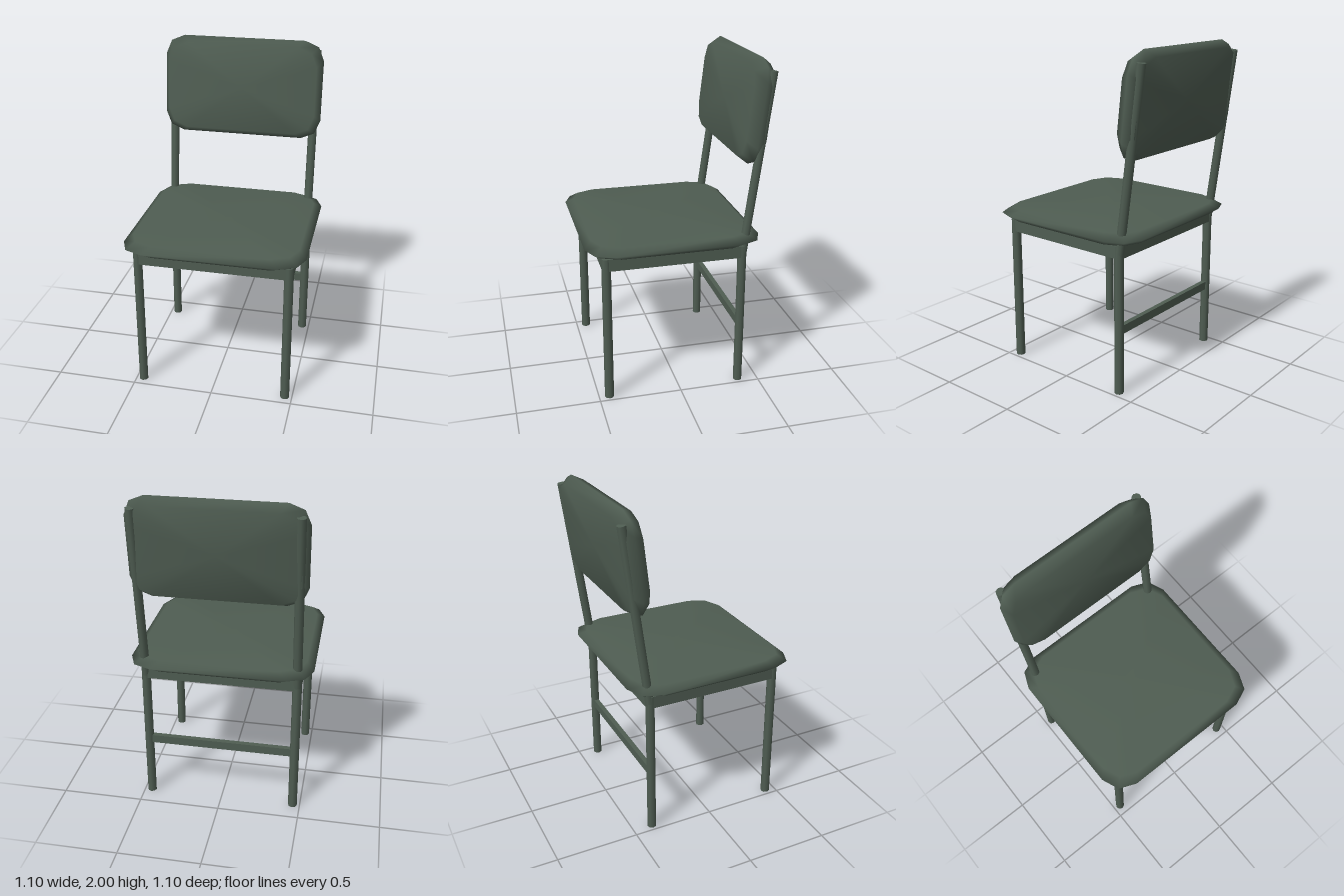
import * as THREE from 'three';

const paint = new THREE.MeshStandardMaterial({ color: 0x4f5d52 });
paint.name = 'dark green';

// Outline of a rectangle with corners rounded in two steps, counter-clockwise
function outline(hw, hh, cut) {
  const pts = [];
  for (let corner = 0; corner < 4; corner++) {
    const sx = corner === 0 || corner === 3 ? 1 : -1;
    const sy = corner < 2 ? 1 : -1;
    for (let i = 0; i < 3; i++) {
      const a = (corner * 2 + i) * Math.PI / 4;
      pts.push([sx * (hw - cut) + Math.cos(a) * cut, sy * (hh - cut) + Math.sin(a) * cut]);
    }
  }
  return pts;
}

// Cushion-like slab facing +z: a wide middle ring between two inset faces
function padGeometry(hw, hh, hd, inset, cut) {
  const rings = [
    [outline(hw - inset, hh - inset, cut), -hd],
    [outline(hw, hh, cut), 0],
    [outline(hw - inset, hh - inset, cut), hd],
  ];
  const pos = [], index = [], n = 12;
  for (const [pts, z] of rings) for (const [x, y] of pts) pos.push(x, y, z);
  pos.push(0, 0, -hd, 0, 0, hd);
  for (let i = 0; i < n; i++) {
    const j = (i + 1) % n;
    for (let r = 0; r < 2; r++) {
      const a = r * n + i, b = r * n + j;
      index.push(a, b, b + n, a, b + n, a + n);
    }
    index.push(3 * n, j, i, 3 * n + 1, 2 * n + i, 2 * n + j);
  }
  const g = new THREE.BufferGeometry();
  g.setAttribute('position', new THREE.Float32BufferAttribute(pos, 3));
  g.setIndex(index);
  g.computeVertexNormals();
  return g;
}

export function createModel() {
  const chair = new THREE.Group();
  chair.name = 'chair';

  const add = (name, geometry, x, y, z) => {
    const mesh = new THREE.Mesh(geometry, paint);
    mesh.name = name;
    mesh.position.set(x, y, z);
    chair.add(mesh);
    return mesh;
  };

  // Round bar between two points
  const bar = (name, from, to, radius) => {
    const dir = to.clone().sub(from);
    const mid = from.clone().add(to).multiplyScalar(0.5);
    const mesh = add(name, new THREE.CylinderGeometry(radius, radius, dir.length(), 8), mid.x, mid.y, mid.z);
    mesh.quaternion.setFromUnitVectors(new THREE.Vector3(0, 1, 0), dir.normalize());
  };

  const legX = 0.455, frontZ = 0.437, rearZ = -0.378;

  // Seat and leaning backrest
  add('seat', padGeometry(0.548, 0.5225, 0.036, 0.046, 0.148), 0, 0.955, 0.0275).rotation.x = -Math.PI / 2;
  add('backrest', padGeometry(0.505, 0.307, 0.06, 0.036, 0.12), 0, 1.695, -0.45).rotation.x = -0.113;

  // Legs, back posts and side rails, mirrored
  for (const [side, s] of [['left', 1], ['right', -1]]) {
    const x = s * legX;
    const v = (y, z) => new THREE.Vector3(x, y, z);
    bar(side + 'FrontLeg', v(0, frontZ), v(0.915, frontZ), 0.028);
    bar(side + 'RearLeg', v(0, rearZ), v(0.915, rearZ), 0.028);
    bar(side + 'BackPost', v(0.85, rearZ), v(1.937, -0.522), 0.027);
    add(side + 'SideRail', new THREE.BoxGeometry(0.046, 0.075, frontZ - rearZ), x, 0.8775, (frontZ + rearZ) / 2);
  }

  // Cross rails under the seat and the low rear stretcher
  add('frontRail', new THREE.BoxGeometry(legX * 2, 0.075, 0.046), 0, 0.8775, frontZ);
  add('rearRail', new THREE.BoxGeometry(legX * 2, 0.075, 0.046), 0, 0.8775, rearZ);
  add('rearStretcher', new THREE.BoxGeometry(legX * 2, 0.052, 0.03), 0, 0.4, rearZ);

  return chair;
}
